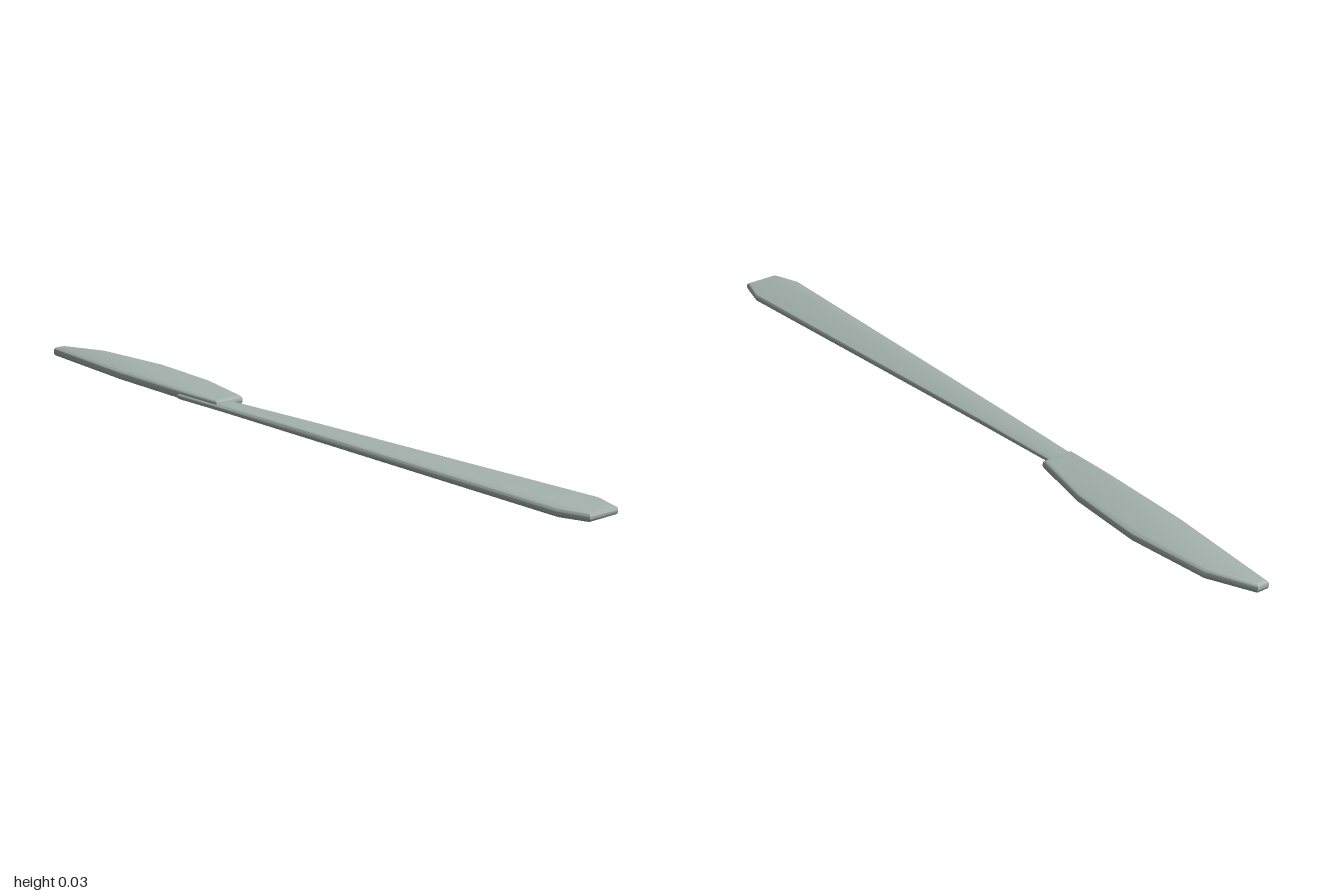
import * as THREE from 'three';
import { toCreasedNormals } from 'three/addons/utils/BufferGeometryUtils.js';

// Flat slab with rounded rim, from an outline of [x, z] points; heightAt(z) gives its thickness.
function roundedSlab(outline, heightAt) {
  const shape = new THREE.Shape(outline.map(([x, z]) => new THREE.Vector2(x, -z)));
  const round = 0.4;
  const g = new THREE.ExtrudeGeometry(shape, {
    depth: 1 - 2 * round, bevelThickness: round, bevelSize: 0.01, bevelOffset: -0.01, bevelSegments: 5,
  });
  g.translate(0, 0, round);
  g.rotateX(-Math.PI / 2);
  const p = g.attributes.position;
  for (let i = 0; i < p.count; i++) p.setY(i, p.getY(i) * heightAt(p.getZ(i)));
  return toCreasedNormals(g, 0.75);
}

export function createModel() {
  const knife = new THREE.Group();
  knife.name = 'tableKnife';
  const steel = new THREE.MeshStandardMaterial({ color: 0xa3b1ac });
  steel.name = 'greySteel';

  // Blade: straight spine on the left, curved cutting edge on the right
  const blade = new THREE.Mesh(roundedSlab([
    [-0.054, -0.27], [0.032, -0.27], [0.073, -0.445], [0.091, -0.655], [0.075, -0.88],
    [0.025, -1], [-0.008, -1], [-0.041, -0.68], [-0.053, -0.41],
  ], () => 0.025), steel);
  blade.name = 'blade';

  // Handle: wide at the butt, narrowing and thinning to a neck that runs under the blade
  const handle = new THREE.Mesh(roundedSlab([
    [-0.07, 0.995], [0.02, 0.995], [0.043, 0.92], [0.011, 0], [0.004, -0.25], [0, -0.42],
    [-0.057, -0.42], [-0.058, -0.25], [-0.066, 0], [-0.095, 0.92],
  ], (z) => 0.016 + 0.006 * THREE.MathUtils.clamp((z + 0.05) / 0.1, 0, 1)), steel);
  handle.name = 'handle';

  knife.add(blade, handle);
  return knife;
}
